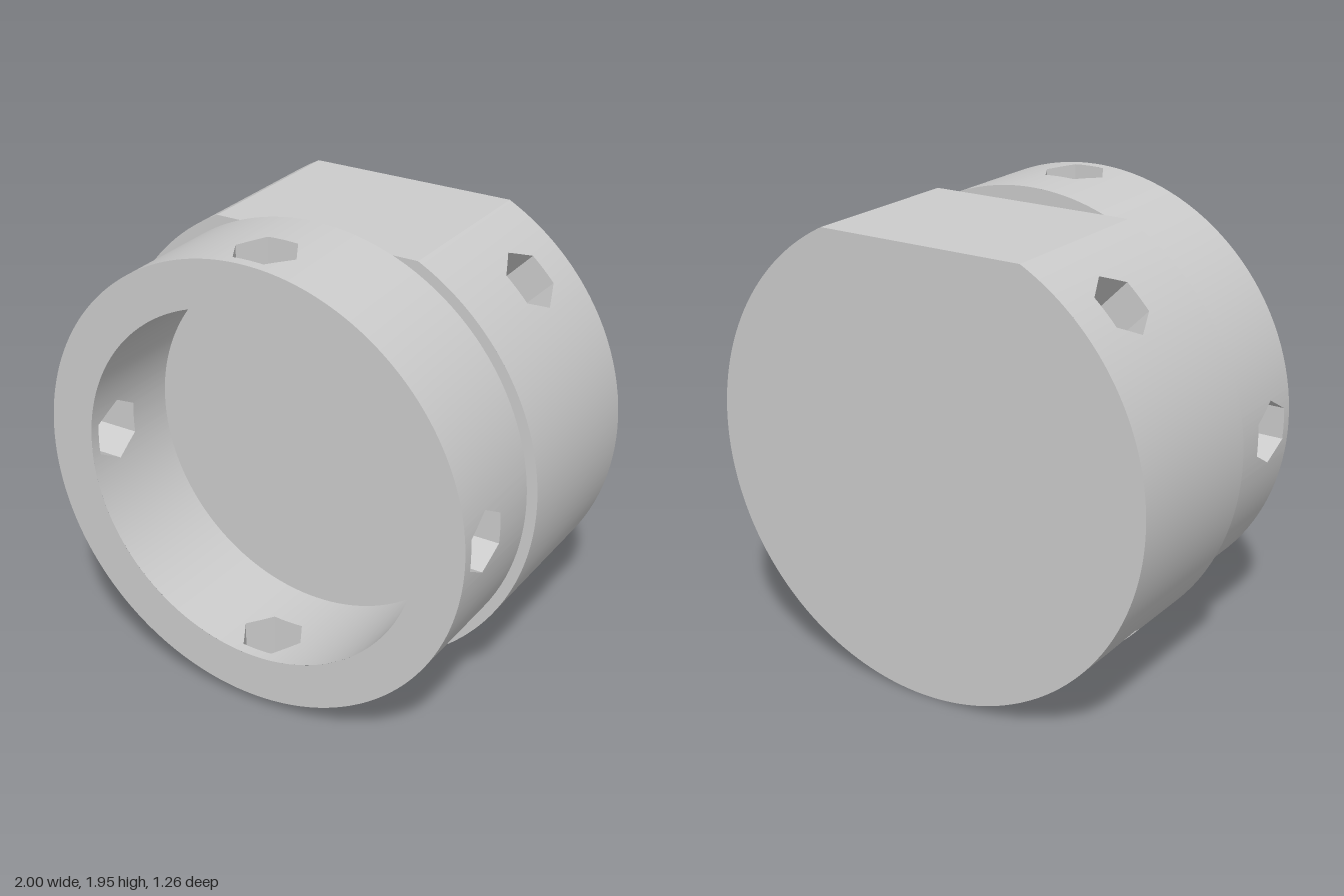
import * as THREE from 'three';
import { toCreasedNormals } from 'three/addons/utils/BufferGeometryUtils.js';

const BODY_R = 1, NECK_R = 0.955, BORE_R = 0.76, FLAT = 0.89;
const BACK = -0.63, STEP = 0.13, FRONT = 0.63;
const HEX = 0.135, HEX_H = HEX * Math.sqrt(3) / 2; // hexagon corner radius and half height
const SEGS = 128;
const flatAngle = Math.acos(FLAT / BODY_R);
const quarterTurns = (start) => [0, 1, 2, 3].map((i) => start + i * Math.PI / 2);
const hexSteps = [-4, -3, -2, -1, 0, 1, 2, 3, 4].map((k) => k * HEX / 4);

// Half height of the hexagonal hole at tangential offset t
const hexHalf = (t) => Math.max(0, Math.min(HEX_H, (HEX - Math.abs(t)) * Math.sqrt(3)));

// Collects quads into one geometry with smooth curves and sharp edges
function quadMesh(build, material, name) {
  const pos = [];
  build((a, b, c, d, flip) => {
    for (const p of flip ? [a, c, b, a, d, c] : [a, b, c, a, c, d]) pos.push(...p);
  });
  const geo = new THREE.BufferGeometry();
  geo.setAttribute('position', new THREE.Float32BufferAttribute(pos, 3));
  const mesh = new THREE.Mesh(toCreasedNormals(geo, 0.3), material);
  mesh.name = name;
  return mesh;
}

// Round wall along z, pierced by hexagonal radial holes; angles run from +y towards +x
function piercedWall(name, material, R, z0, z1, holeZ, holes, { inward = false, flat = false } = {}) {
  const angles = [0, Math.PI * 2];
  for (let i = 1; i < SEGS; i++) angles.push(i / SEGS * Math.PI * 2);
  for (const h of holes) for (const t of hexSteps) angles.push(h + Math.asin(t / R));
  if (flat) angles.push(flatAngle, Math.PI * 2 - flatAngle);
  const sorted = angles.map((a) => (a < 0 ? a + Math.PI * 2 : a))
    .sort((a, b) => a - b).filter((a, i, s) => i === 0 || a - s[i - 1] > 1e-6);

  const half = (a) => {
    for (const h of holes) {
      const d = a - h;
      if (Math.cos(d) > 0 && Math.abs(R * Math.sin(d)) < HEX) return hexHalf(R * Math.sin(d));
    }
    return 0;
  };
  const point = (a, z) => {
    const r = flat && Math.cos(a) > 0 ? Math.min(R, FLAT / Math.cos(a)) : R;
    return [r * Math.sin(a), r * Math.cos(a), z];
  };
  return quadMesh((quad) => {
    for (let i = 0; i + 1 < sorted.length; i++) {
      const a = sorted[i], b = sorted[i + 1], ha = half(a), hb = half(b);
      quad(point(a, z0), point(a, holeZ - ha), point(b, holeZ - hb), point(b, z0), inward);
      quad(point(a, holeZ + ha), point(a, z1), point(b, z1), point(b, holeZ + hb), inward);
    }
  }, material, name);
}

// Walls of one hexagonal hole pointing along +y, from radius inner(t) to outer(t)
function hexHole(name, material, angle, z, inner, outer) {
  const mesh = quadMesh((quad) => {
    for (let i = 0; i + 1 < hexSteps.length; i++) {
      const t = hexSteps[i], u = hexSteps[i + 1];
      for (const s of [1, -1]) {
        const zt = s * hexHalf(t), zu = s * hexHalf(u);
        quad([t, inner(t), zt], [t, outer(t), zt], [u, outer(u), zu], [u, inner(u), zu], s < 0);
      }
    }
  }, material, name);
  mesh.position.z = z;
  mesh.rotation.z = -angle;
  return mesh;
}

// Flat end face at a given z, facing front or back
function endFace(name, material, shape, z, back) {
  const geo = new THREE.ShapeGeometry(shape, SEGS);
  if (back) geo.rotateY(Math.PI);
  const mesh = new THREE.Mesh(geo, material);
  mesh.name = name;
  mesh.position.z = z;
  return mesh;
}

export function createModel() {
  const model = new THREE.Group();
  model.name = 'coupling';
  const grey = new THREE.MeshStandardMaterial({ color: 0xcccccc });
  const onCircle = (R) => (t) => Math.sqrt(R * R - t * t);

  // Solid body with a flat on top and diagonal cross holes
  const body = new THREE.Group();
  body.name = 'body';
  const bodyHoles = quarterTurns(Math.PI / 4), bodyHoleZ = -0.33;
  const outline = new THREE.Shape();
  outline.absarc(0, 0, BODY_R, Math.PI / 2 + flatAngle, Math.PI * 2.5 - flatAngle, false);
  outline.closePath();
  body.add(
    piercedWall('bodyWall', grey, BODY_R, BACK, STEP, bodyHoleZ, bodyHoles, { flat: true }),
    endFace('bodyBack', grey, outline, BACK, true),
    endFace('bodyFront', grey, outline, STEP, false),
  );
  // The cross holes meet in a mitre on the centre line
  for (const a of bodyHoles) {
    body.add(hexHole('bodyHole', grey, a, bodyHoleZ, Math.abs, onCircle(BODY_R)));
  }

  // Hollow neck with four holes through its wall
  const neck = new THREE.Group();
  neck.name = 'neck';
  const neckHoles = quarterTurns(0), neckHoleZ = 0.467;
  const ring = new THREE.Shape().absarc(0, 0, NECK_R, 0, Math.PI * 2, false);
  ring.holes.push(new THREE.Path().absarc(0, 0, BORE_R, 0, Math.PI * 2, true));
  neck.add(
    piercedWall('neckWall', grey, NECK_R, STEP, FRONT, neckHoleZ, neckHoles),
    piercedWall('neckBore', grey, BORE_R, STEP, FRONT, neckHoleZ, neckHoles, { inward: true }),
    endFace('neckRim', grey, ring, FRONT, false),
    endFace('neckShoulder', grey, ring, STEP, true),
  );
  for (const a of neckHoles) {
    neck.add(hexHole('neckHole', grey, a, neckHoleZ, onCircle(BORE_R), onCircle(NECK_R)));
  }

  model.add(body, neck);
  body.position.y = neck.position.y = BODY_R;
  return model;
}
